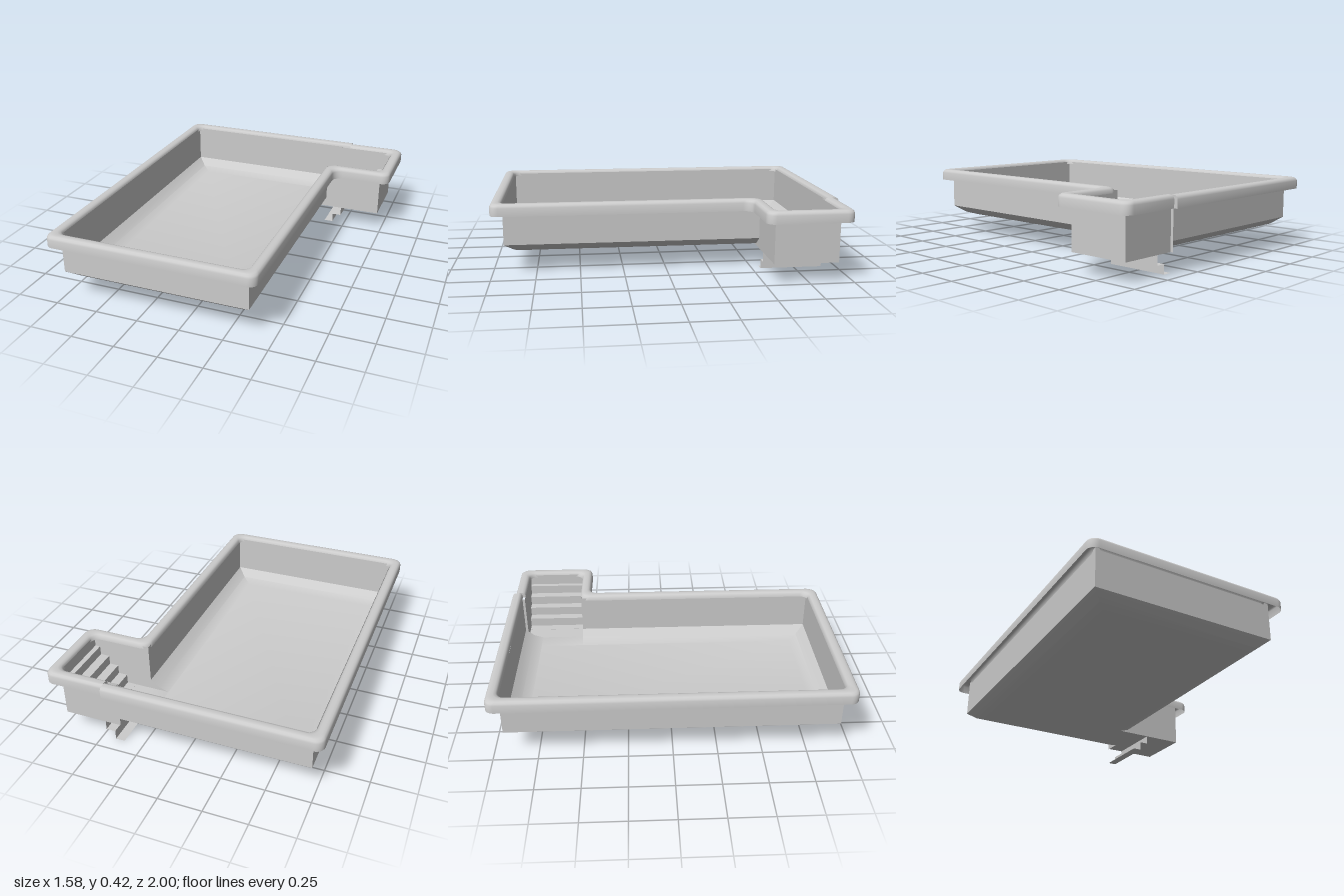
import * as THREE from 'three';
import { mergeGeometries, toCreasedNormals } from 'three/addons/utils/BufferGeometryUtils.js';

const shell = new THREE.MeshStandardMaterial({ color: 0xcccccc, side: THREE.DoubleSide });
shell.name = 'light grey shell';

// Grid surface joining successive rings of [x, y, z] points
function surface(rings, closed = false) {
  const pos = [];
  const n = rings[0].length;
  for (let r = 0; r < rings.length - 1; r++) {
    for (let i = 0; i < (closed ? n : n - 1); i++) {
      const j = (i + 1) % n;
      const a = rings[r], b = rings[r + 1];
      pos.push(...a[i], ...b[i], ...a[j], ...a[j], ...b[i], ...b[j]);
    }
  }
  const geo = new THREE.BufferGeometry();
  geo.setAttribute('position', new THREE.Float32BufferAttribute(pos, 3));
  return geo;
}

// Flat horizontal rectangle facing up
const slab = (x0, x1, z0, z1, y) =>
  surface([[[x1, y, z0], [x1, y, z1]], [[x0, y, z0], [x0, y, z1]]]);

// Vertical wall following [x, z] points
const wall = (path, y0, y1) =>
  surface([y1, y0].map((y) => path.map(([x, z]) => [x, y, z])));

// Rim outline corners: x, z, inset direction x and z, radius
const RIM = [
  [0.785, -0.98, -1, 1, 0.05], [0.785, -0.49, -1, -1, 0.05],
  [0.43, -0.49, -1, -1, 0.055], [0.43, 1, -1, -1, 0.05],
  [-0.79, 1, 1, -1, 0.05], [-0.79, -1, 1, 1, 0.05],
  [0.43, -1, 0, 1, 0], [0.43, -0.98, 0, 1, 0],
];

// Rounded rim outline, inset by d at height y
function rimRing(d, y) {
  const c = RIM.map(([x, z, sx, sz]) => new THREE.Vector2(x + sx * d, z + sz * d));
  const pts = [];
  c.forEach((p, i) => {
    const r = RIM[i][4];
    const steps = r ? 6 : 0;
    const into = p.clone().sub(c[(i + 7) % 8]).normalize();
    const out = c[(i + 1) % 8].clone().sub(p).normalize();
    for (let k = 0; k <= steps; k++) {
      const t = steps ? (k / steps) * Math.PI / 2 : 0;
      const q = p.clone()
        .addScaledVector(into, r * (Math.sin(t) - 1))
        .addScaledVector(out, r * (1 - Math.cos(t)));
      pts.push([q.x, y, q.y]);
    }
  });
  return pts;
}

// Basin path at inset d, open where the stair alcove joins
const L = -0.725, R = 0.37, Z = 0.93, ZA = -0.915, ZB = -0.55, XE = 0.72;
const basin = (d) => [[R - d, ZB], [R - d, Z - d], [L + d, Z - d], [L + d, -Z + d], [R, -Z + d]];

export function createModel() {
  const group = new THREE.Group();
  const add = (name, geo, crease = 0.6) => {
    const mesh = new THREE.Mesh(toCreasedNormals(geo, crease), shell);
    mesh.name = name;
    group.add(mesh);
  };

  // Hollow rounded rim, open underneath
  const profile = [[0, 0.348], [0, 0.395], [0.004, 0.406], [0.013, 0.414], [0.025, 0.416],
    [0.042, 0.416], [0.054, 0.412], [0.062, 0.403], [0.065, 0.385]];
  add('rim', surface(profile.map(([d, y]) => rimRing(d, y)), true), 0.8);

  // Main basin walls
  add('basinWalls', wall(basin(0), 0.17, 0.4));

  // Bevelled floor edge and floor
  const D = 0.11, Y = 0.11;
  const bevel = [[0, 0.17], [0.055, 0.128], [D, Y]]
    .map(([d, y]) => basin(d).map(([x, z]) => [x, y, z]));
  add('basinFloor', mergeGeometries([
    surface(bevel),
    slab(L + D, R - D, -Z + D, Z - D, Y),
    slab(R - D, R, -Z + D, ZB, Y),
  ]));

  // Caps closing the bevel at both sides of the opening
  for (const [name, k, corner] of [
    ['frontBevelCap', 0, [R, Y, ZB]], ['backBevelCap', 4, [R, Y, -Z]],
  ]) {
    const fan = bevel.map((ring) => ring[k]);
    add(name, surface([fan, fan.map(() => corner)]));
  }

  // Stair alcove walls and floor
  add('alcoveWalls', wall([[R, -Z], [R, ZA], [XE, ZA], [XE, ZB], [R, ZB]], Y, 0.4));
  add('alcoveFloor', slab(R, XE, ZA, ZB, Y));

  // Thin folded stair sheet, running down below the floor
  const stair = [[XE, 0.332]];
  for (let i = 0; i < 7; i++) {
    const x = 0.69 - i * 0.054, y = 0.332 - i * 0.0553;
    stair.push([x, y]);
    if (i < 6) stair.push([x, y - 0.0553]);
  }
  add('steps', surface(stair.map(([x, y]) => [[x, Math.max(y, 0), ZA], [x, Math.max(y, 0), ZB]])));

  return group;
}
